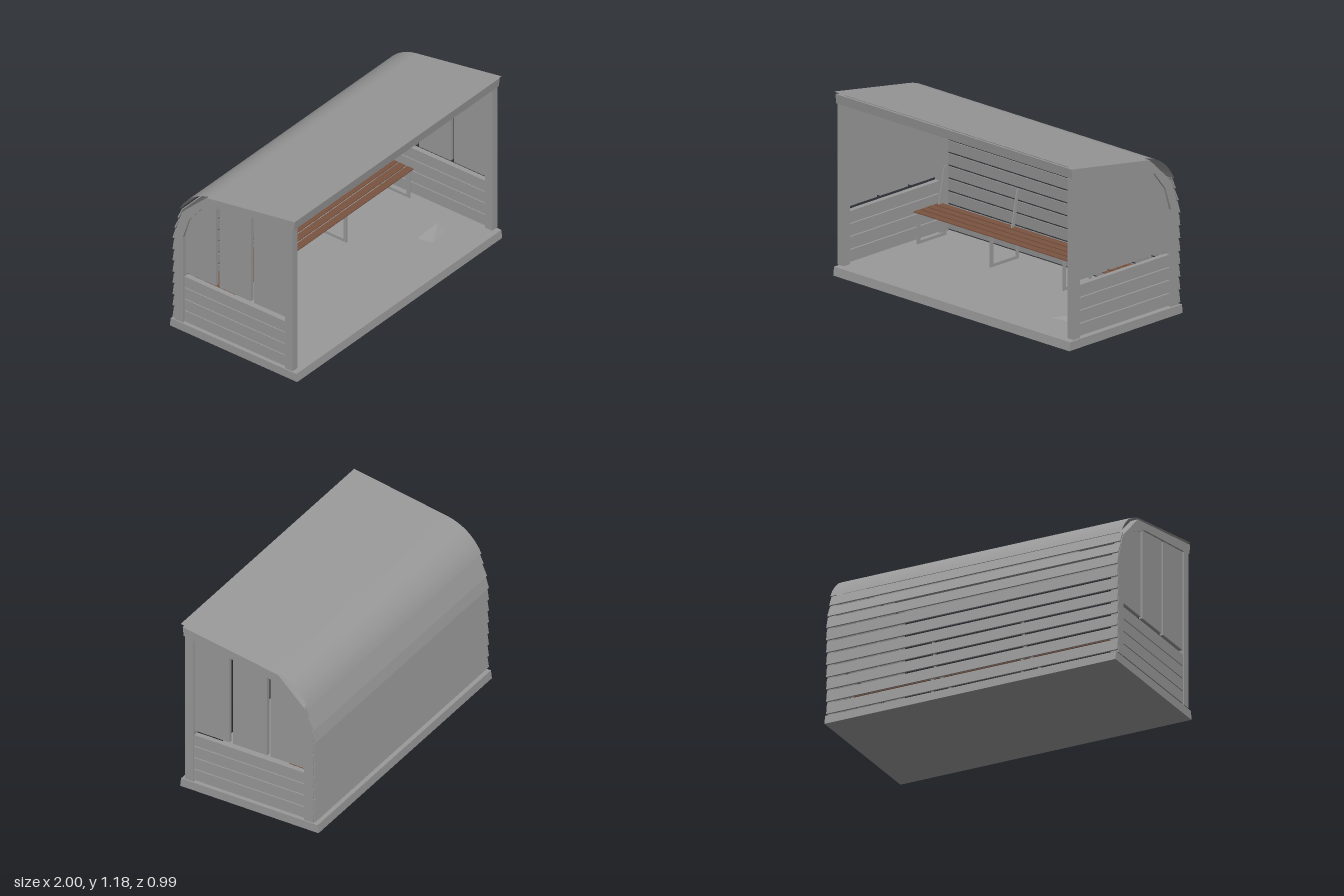
import * as THREE from 'three';

const grey = new THREE.MeshStandardMaterial({ color: 0x999999 });
grey.name = 'weathered grey';
const greySheet = new THREE.MeshStandardMaterial({ color: 0x999999, side: THREE.DoubleSide });
greySheet.name = 'grey sheet';
const wood = new THREE.MeshStandardMaterial({ color: 0x7a5340 });
wood.name = 'bench wood';

// Extrudes a side outline, given as [z, y] points, along x around centre cx
function sidePlate(points, width, cx, holes = []) {
  const toVectors = (list) => list.map(([z, y]) => new THREE.Vector2(z, y));
  const shape = new THREE.Shape(toVectors(points));
  holes.forEach((h) => shape.holes.push(new THREE.Path(toVectors(h))));
  const geo = new THREE.ExtrudeGeometry(shape, { depth: width, bevelEnabled: false });
  geo.translate(0, 0, -width / 2);
  geo.rotateY(-Math.PI / 2);
  geo.translate(cx, 0, 0);
  return geo;
}

function add(parent, name, geometry, material) {
  const mesh = new THREE.Mesh(geometry, material);
  mesh.name = name;
  parent.add(mesh);
  return mesh;
}

function box(parent, name, size, pos, material) {
  const mesh = add(parent, name, new THREE.BoxGeometry(...size), material);
  mesh.position.set(...pos);
  return mesh;
}

// Thin curved roof swept along x
function roofGeometry() {
  const curve = new THREE.CubicBezierCurve(
    new THREE.Vector2(-0.17, 1.074), new THREE.Vector2(-0.28, 1.056),
    new THREE.Vector2(-0.37, 0.99), new THREE.Vector2(-0.42, 0.885));
  const profile = [new THREE.Vector2(0.49, 1.184), ...curve.getPoints(12)];
  const pos = [];
  const index = [];
  profile.forEach((p, i) => {
    pos.push(-1, p.y, p.x, 1, p.y, p.x);
    if (i > 0) {
      const a = 2 * (i - 1);
      index.push(a, a + 1, a + 2, a + 1, a + 3, a + 2);
    }
  });
  const geo = new THREE.BufferGeometry();
  geo.setAttribute('position', new THREE.Float32BufferAttribute(pos, 3));
  geo.setIndex(index);
  geo.computeVertexNormals();
  return geo;
}

function createBench() {
  const bench = new THREE.Group();
  bench.name = 'bench';
  for (let i = 0; i < 4; i++) {
    box(bench, 'seatSlat', [1.89, 0.006, 0.05], [0, 0.262, -0.175 - i * 0.061], wood);
  }
  // Looped legs with a leaning upright behind the seat
  const outer = [[-0.16, 0.055], [-0.16, 0.258], [-0.41, 0.258], [-0.41, 0.055]];
  const inner = [[-0.185, 0.075], [-0.185, 0.238], [-0.387, 0.238], [-0.387, 0.075]];
  const upright = [[-0.345, 0.258], [-0.37, 0.258], [-0.41, 0.5], [-0.395, 0.5]];
  for (let i = 0; i < 4; i++) {
    const x = -0.925 + i * 0.6167;
    add(bench, 'leg', sidePlate(outer, 0.008, x, [inner]), grey);
    add(bench, 'backUpright', sidePlate(upright, 0.008, x), grey);
  }
  return bench;
}

function createSide(sign) {
  const side = new THREE.Group();
  side.name = sign > 0 ? 'leftSide' : 'rightSide';
  const x = sign * 0.975;
  // Bent frame: front post, roof rail and back post
  add(side, 'frame', sidePlate([
    [0.458, 0.063], [0.458, 1.162], [-0.205, 1.055], [-0.4, 0.87], [-0.457, 0.69], [-0.457, 0.063],
    [-0.393, 0.063], [-0.393, 0.69], [-0.345, 0.835], [-0.25, 0.955], [-0.11, 1.02], [0.4, 1.09],
    [0.4, 0.063],
  ], 0.05, x), grey);
  // Lower boards
  for (let i = 0; i < 4; i++) {
    box(side, 'sideBoard', [0.035, 0.077, 0.787], [x, 0.111 + i * 0.0835, 0.006], grey);
  }
  // Three window panels
  const panels = [
    [[0.4, 0.43], [0.4, 1.09], [0.15, 1.056], [0.15, 0.43]],
    [[0.125, 0.43], [0.125, 1.052], [-0.11, 1.02], [-0.12, 1.015], [-0.12, 0.43]],
    [[-0.145, 0.43], [-0.145, 1.004], [-0.25, 0.955], [-0.345, 0.835], [-0.383, 0.71], [-0.383, 0.43]],
  ];
  panels.forEach((p) => add(side, 'windowPanel', sidePlate(p, 0.025, x), grey));
  return side;
}

export function createModel() {
  const model = new THREE.Group();
  model.name = 'shelter';

  // Floor slab with slightly sloped edges
  add(model, 'floorSlab', sidePlate(
    [[0.495, 0], [0.488, 0.056], [-0.488, 0.056], [-0.495, 0]], 2, 0), grey);

  model.add(createSide(1), createSide(-1));

  // Overlapping back boards, leaning with the frame near the top
  for (let i = 0; i < 10; i++) {
    const y = 0.075 + i * 0.0825;
    const lean = (h) => Math.max(0, h - 0.69) * 0.3;
    const z0 = -0.474 + lean(y);
    const z1 = -0.463 + lean(y + 0.074);
    add(model, 'backBoard', sidePlate(
      [[z0, y], [z1, y + 0.074], [z1 + 0.007, y + 0.074], [z0 + 0.012, y]], 2, 0), grey);
  }

  // Roof, front fascia and the strip along the back wall
  add(model, 'roof', roofGeometry(), greySheet);
  add(model, 'fascia', sidePlate(
    [[0.458, 1.1], [0.458, 1.163], [0.476, 1.165], [0.469, 1.103]], 2, 0), grey);
  box(model, 'wallStrip', [1.4, 0.035, 0.015], [0, 0.828, -0.405], grey);

  model.add(createBench());

  // Crumpled sheet on the floor
  const sheet = new THREE.BufferGeometry();
  sheet.setAttribute('position', new THREE.Float32BufferAttribute([
    0.62, 0.065, 0.26, 0.77, 0.065, 0.24, 0.77, 0.105, 0.18,
    0.62, 0.065, 0.26, 0.77, 0.105, 0.18, 0.58, 0.08, 0.17,
  ], 3));
  sheet.computeVertexNormals();
  add(model, 'looseSheet', sheet, greySheet);

  return model;
}
